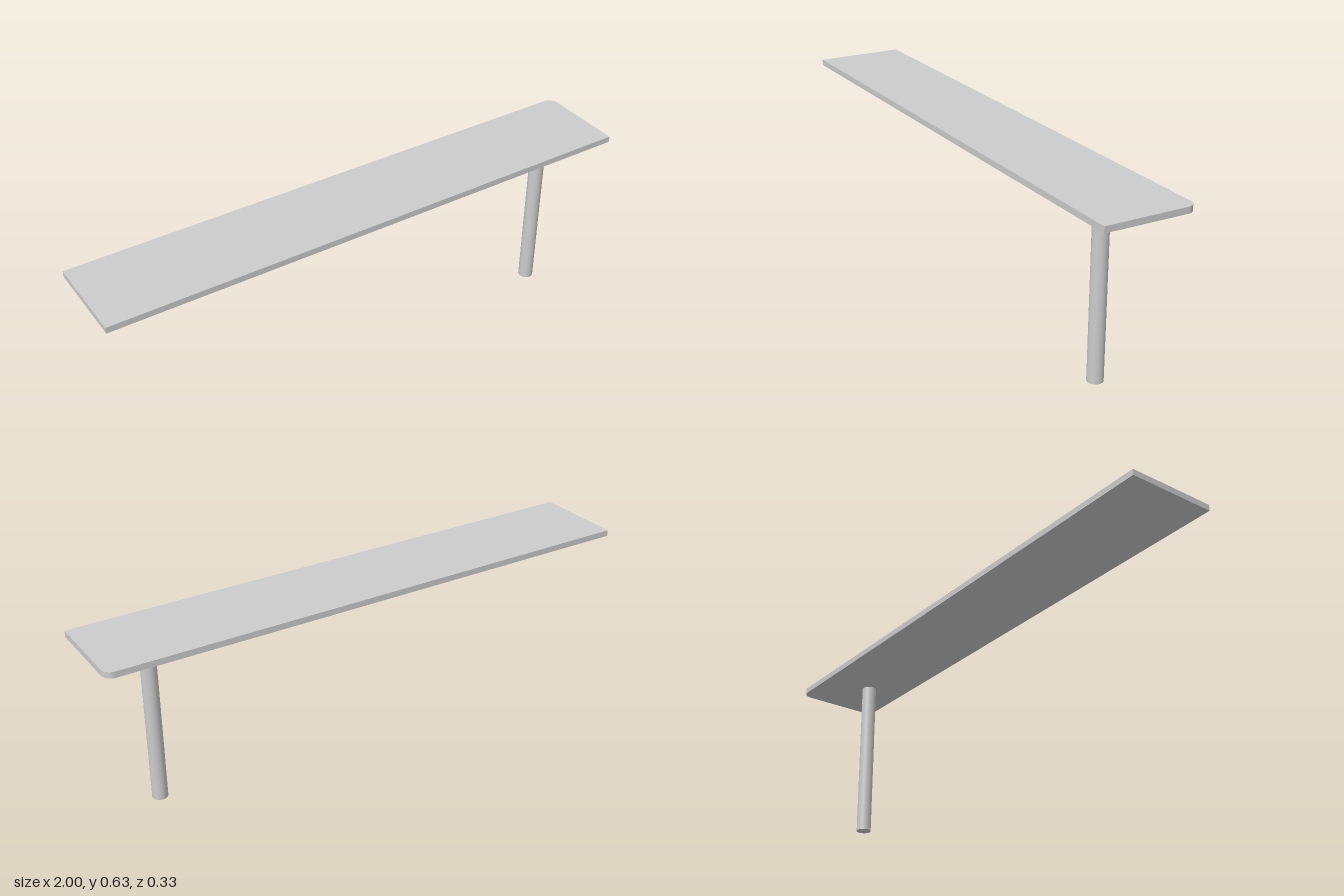
import * as THREE from 'three';
import { toCreasedNormals } from 'three/addons/utils/BufferGeometryUtils.js';

const TOP = 0.635, UNDERSIDE = 0.613, HALF_DEPTH = 0.165, SEAM = -0.045;

// Flat panel between two x positions, with an optional rounded back left corner
function panel(x0, x1, radius) {
  const s = new THREE.Shape();
  s.moveTo(x0, -HALF_DEPTH);
  s.lineTo(x1, -HALF_DEPTH);
  if (radius > 0) {
    s.lineTo(x1, HALF_DEPTH - radius);
    s.absarc(x1 - radius, HALF_DEPTH - radius, radius, 0, Math.PI / 2, false);
  } else {
    s.lineTo(x1, HALF_DEPTH);
  }
  s.lineTo(x0, HALF_DEPTH);
  s.closePath();
  const g = new THREE.ExtrudeGeometry(s, { depth: TOP - UNDERSIDE, bevelEnabled: false, curveSegments: 12 });
  g.rotateX(-Math.PI / 2);
  g.translate(0, UNDERSIDE, 0);
  return toCreasedNormals(g, 0.5);
}

export function createModel() {
  const model = new THREE.Group();
  model.name = 'counter';
  const material = new THREE.MeshStandardMaterial({ color: 0xcccccc });
  const add = (name, geometry) => {
    const mesh = new THREE.Mesh(geometry, material);
    mesh.name = name;
    model.add(mesh);
    return mesh;
  };

  // Two worktop panels meeting at a seam
  add('worktopRight', panel(-1, SEAM, 0));
  add('worktopLeft', panel(SEAM, 1, 0.035));

  // Single round leg near the free end
  add('leg', new THREE.CylinderGeometry(0.0275, 0.0275, UNDERSIDE, 40))
    .position.set(0.785, UNDERSIDE / 2, 0.024);

  return model;
}
